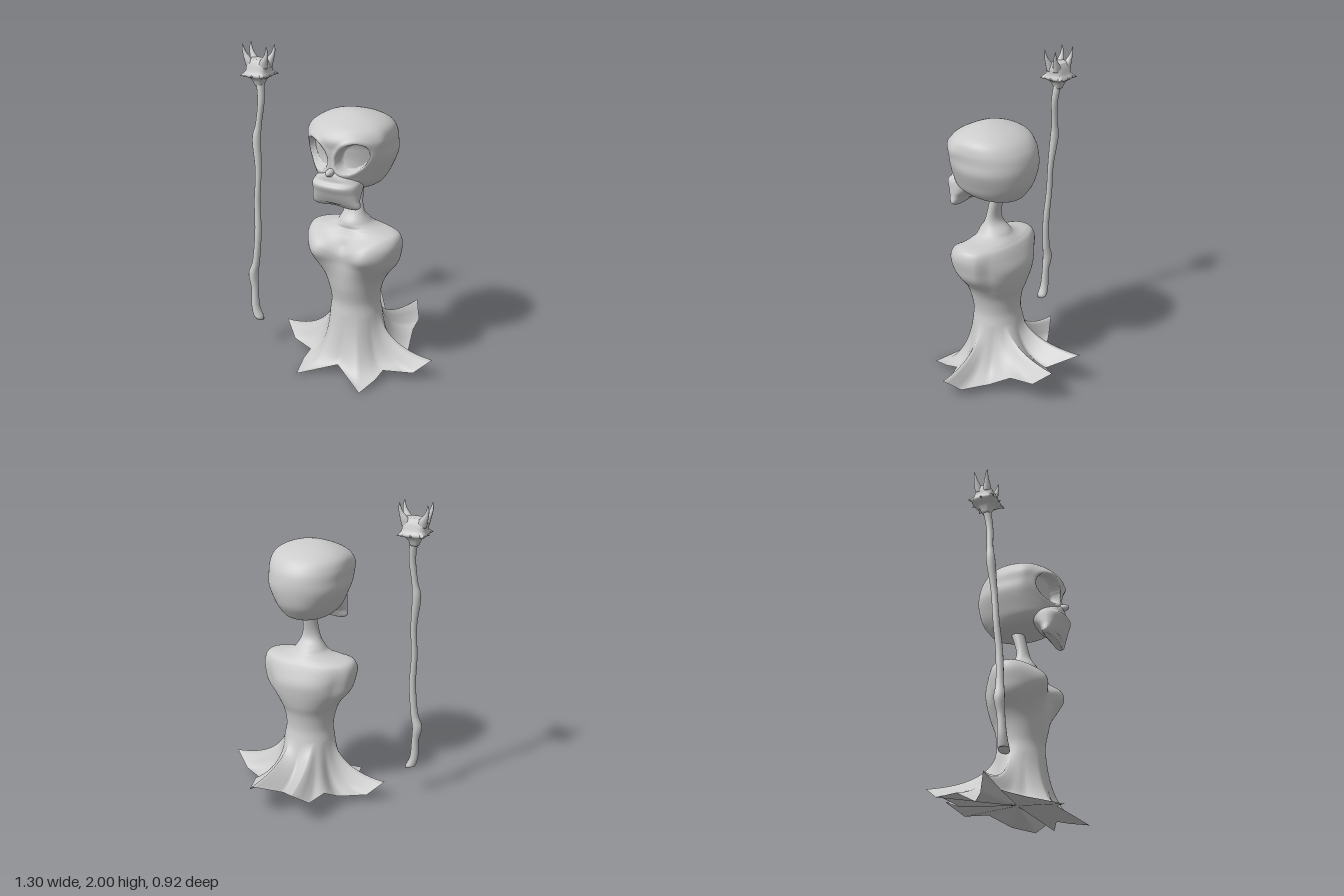
import * as THREE from 'three';

const N = 96;   // points per ring
const CX = 0.11; // the figure stands off centre, beside its staff
const mat = new THREE.MeshStandardMaterial({ color: 0xcccccc, side: THREE.DoubleSide });
const V = (x, y, z) => new THREE.Vector3(x, y, z);
const { smoothstep } = THREE.MathUtils;
const bell = (x, mid, width) => Math.exp(-(((x - mid) / width) ** 2));

// Smoothly resample a short table of cross-section rows
function resample(rows, steps) {
  const out = [], n = rows.length;
  for (let s = 0; s <= steps; s++) {
    const f = (s / steps) * (n - 1), i = Math.min(Math.floor(f), n - 2), t = f - i;
    const at = (k) => rows[Math.max(0, Math.min(n - 1, k))];
    out.push(rows[0].map((_, c) => {
      const [a, b, d, e] = [at(i - 1)[c], at(i)[c], at(i + 1)[c], at(i + 2)[c]];
      return b + 0.5 * t * (d - a + t * (2 * a - 5 * b + 4 * d - e + t * (3 * (b - d) + e - a)));
    }));
  }
  return out;
}

// Superellipse ring: half width, front z, back z, squareness
function ring(cx, y, w, zf, zb, n = 2, count = N) {
  const pts = [], zc = (zf + zb) / 2, p = 2 / n;
  for (let j = 0; j < count; j++) {
    const a = (j / count) * Math.PI * 2, s = Math.sin(a), c = Math.cos(a);
    pts.push(V(cx + w * Math.sign(s) * Math.abs(s) ** p, y, zc + (zf - zb) / 2 * Math.sign(c) * Math.abs(c) ** p));
  }
  return pts;
}

// Skin a stack of rings, listed bottom to top, with optional end caps
function loft(rings, capStart = true, capEnd = true) {
  const m = rings[0].length, pts = rings.flat(), idx = [];
  for (let i = 0; i < rings.length - 1; i++) for (let j = 0; j < m; j++) {
    const k = (j + 1) % m, a = i * m + j, b = i * m + k;
    idx.push(a, b, b + m, a, b + m, a + m);
  }
  const cap = (r, start) => {
    const c = r.reduce((q, p) => q.add(p), V(0, 0, 0)).divideScalar(m), o = start ? 0 : (rings.length - 1) * m;
    pts.push(c);
    for (let j = 0; j < m; j++) {
      const a = o + j, b = o + (j + 1) % m;
      idx.push(pts.length - 1, start ? b : a, start ? a : b);
    }
  };
  if (capStart) cap(rings[0], true);
  if (capEnd) cap(rings[rings.length - 1], false);
  const g = new THREE.BufferGeometry().setFromPoints(pts);
  g.setIndex(idx);
  g.computeVertexNormals();
  return g;
}

function reshape(g, fn) {
  const p = g.attributes.position, v = V(0, 0, 0);
  for (let i = 0; i < p.count; i++) {
    fn(v.fromBufferAttribute(p, i));
    p.setXYZ(i, v.x, v.y, v.z);
  }
  g.computeVertexNormals();
  return g;
}

// Star-shaped hem: [angle, x, y, z] for the left half, mirrored for the right
const HEM = [
  [0, 0, 0.07, 0.33], [30, 0.23, 0, 0.455], [45, 0.265, 0.035, 0.32], [60, 0.27, 0.06, 0.23],
  [75, 0.44, 0.055, 0.155], [90, 0.54, 0.145, 0.09], [105, 0.44, 0.055, 0.03], [120, 0.285, 0.06, -0.07],
  [131.25, 0.245, 0.145, -0.21], [142.5, 0.21, 0.145, -0.36], [150, 0.14, 0.23, -0.46], [180, 0, 0.14, -0.3],
];
function hemRing() {
  return Array.from({ length: N }, (_, j) => {
    const deg = (j / N) * 360, side = deg > 180 ? -1 : 1, d = side > 0 ? deg : 360 - deg;
    const i = Math.min(HEM.findLastIndex((h) => h[0] <= d), HEM.length - 2);
    const [a, b] = [HEM[i], HEM[i + 1]], t = (d - a[0]) / (b[0] - a[0]);
    const l = (c) => a[c] + (b[c] - a[c]) * t;
    return V(CX + side * l(1), l(2), l(3));
  });
}

function createBody(add) {
  // y, half width, front z, back z, squareness
  const torso = resample([
    [0.38, 0.165, 0.26, -0.055, 2], [0.46, 0.155, 0.255, -0.04, 2], [0.56, 0.172, 0.275, -0.05, 2],
    [0.64, 0.207, 0.29, -0.075, 2.1], [0.73, 0.275, 0.315, -0.092, 2.2], [0.8, 0.297, 0.33, -0.095, 2.3],
    [0.87, 0.31, 0.315, -0.07, 2.3], [0.92, 0.298, 0.28, -0.045, 2.2], [0.942, 0.262, 0.255, -0.025, 2],
    [0.957, 0.17, 0.235, -0.01, 2], [0.975, 0.12, 0.225, 0.01, 2], [1.0, 0.095, 0.215, 0.03, 2],
    [1.05, 0.068, 0.18, 0.08, 2], [1.12, 0.053, 0.16, 0.085, 2], [1.26, 0.045, 0.13, 0.045, 2],
  ], 84).map((r) => ring(CX, ...r));

  // Hollow the chest above a V neckline and set the arm sockets proud of the back
  for (const v of torso.flat()) {
    const x = Math.abs(v.x - CX), front = smoothstep(v.z, 0.14, 0.22);
    const neckline = smoothstep(v.y - 0.82 - 0.5 * x, -0.03, 0.05) * (1 - smoothstep(v.y, 0.92, 0.98));
    const lobe = bell(x, 0.17, 0.08) * bell(v.y, 0.82, 0.08);
    const groove = bell(x, 0, 0.09) * bell(v.y, 0.8, 0.12);
    const band = bell(v.y, 0.79, 0.12) * (1 - smoothstep(v.z, -0.02, 0.04));
    v.z += front * (0.035 * lobe - 0.035 * groove - 0.03 * neckline);
    v.x = CX + (v.x - CX) * (1 - 0.14 * band);
  }

  // Skirt sweeps from the waist out to each point of the hem
  const hem = hemRing(), skirt = [];
  for (let s = 0; s < 18; s++) {
    const t = s / 18;
    skirt.push(hem.map((h, j) => {
      const w = torso[0][j], c = w.clone().lerp(h, 0.18);
      c.y = h.y + 0.02 - 0.2 * Math.max(0, h.y - 0.1);
      return h.clone().multiplyScalar((1 - t) ** 2).addScaledVector(c, 2 * t * (1 - t)).addScaledVector(w, t * t);
    }));
  }
  add('gownAndNeck', loft([...skirt, ...torso], false));
  const under = [0.1, 0.4, 0.7, 1].map((t) => hem.map((h) => V(CX, 0.1, 0.08).lerp(h, t)));
  add('skirtUnderside', loft(under, true, false));
}

function createSkull(add) {
  const cranium = loft(resample([
    [1.225, 0.06, 0.18, -0.02], [1.24, 0.14, 0.28, -0.07], [1.28, 0.185, 0.365, -0.105],
    [1.34, 0.215, 0.39, -0.14], [1.43, 0.25, 0.385, -0.158], [1.5, 0.252, 0.395, -0.155],
    [1.56, 0.253, 0.403, -0.135], [1.615, 0.233, 0.36, -0.09], [1.655, 0.175, 0.29, -0.02],
    [1.683, 0.09, 0.22, 0.07], [1.695, 0.01, 0.17, 0.15],
  ], 100).map((r) => ring(CX, ...r, 2.1, 192)));
  // Square off the temples, press in the eye sockets and raise a soft rim round them
  add('cranium', reshape(cranium, (v) => {
    v.x = CX + (v.x - CX) * (1 + 0.08 * bell(v.z, 0.25, 0.06) * bell(v.y, 1.53, 0.12));
    if (v.z < 0.15) return;
    const dx = Math.abs(v.x - CX) - 0.116, dy = v.y - 1.46;
    const d = Math.hypot((dx - dy * 0.2) / 0.084, (dy - dx * 0.1) / 0.088);
    v.z += 0.008 * bell(d, 1.15, 0.2);
    v.z -= 0.05 * (1 - smoothstep(d, 0.88, 1.03));
  }));

  // Muzzle and jaw, with the mouth notch below the nose
  const jaw = loft(resample([
    [1.142, 0.14, 0.355, 0.31], [1.16, 0.162, 0.37, 0.3], [1.2, 0.155, 0.395, 0.275],
    [1.24, 0.154, 0.415, 0.23], [1.285, 0.152, 0.435, 0.19], [1.31, 0.145, 0.413, 0.18],
    [1.335, 0.12, 0.41, 0.17], [1.36, 0.075, 0.405, 0.16], [1.39, 0.03, 0.38, 0.16],
  ], 48).map((r) => ring(CX, ...r, 2.5)));
  add('jaw', reshape(jaw, (v) => {
    if (v.y < 1.17) v.y += 0.012 * bell(v.x, CX, 0.07);
  }));
  add('nose', new THREE.SphereGeometry(1, 20, 14).scale(0.024, 0.024, 0.045).translate(CX, 1.368, 0.398));
}

function createStaff(add) {
  // y, x, z, radius
  const shaft = resample([
    [0.205, -0.54, 0.26, 0.034], [0.28, -0.565, 0.26, 0.028], [0.4, -0.57, 0.255, 0.024],
    [0.5, -0.582, 0.25, 0.032], [0.6, -0.56, 0.245, 0.024], [0.8, -0.545, 0.235, 0.022],
    [1.0, -0.555, 0.22, 0.02], [1.2, -0.55, 0.205, 0.02], [1.4, -0.567, 0.19, 0.028],
    [1.5, -0.555, 0.18, 0.02], [1.65, -0.538, 0.17, 0.022], [1.78, -0.553, 0.155, 0.026],
  ], 60).map(([y, x, z, r]) => ring(x, y, r, z + r, z - r, 2, 12));
  shaft[0].forEach((p) => { p.y -= (p.x + 0.54) * 0.4; });
  add('staffShaft', loft(shaft));

  // Squared cup: y, half width, half depth
  const SX = -0.555, SZ = 0.155;
  add('staffCup', loft(resample([
    [1.74, 0.024, 0.024], [1.785, 0.045, 0.045], [1.81, 0.08, 0.08], [1.84, 0.074, 0.066],
    [1.88, 0.074, 0.052], [1.91, 0.06, 0.036],
  ], 20).map(([y, w, d]) => ring(SX, y, w, SZ + d, SZ - d, 3.5, 32))));

  for (const sx of [-1, 1]) for (const sz of [-1, 1]) {
    // Curved prong at each corner: y, outward offset, radius
    add('staffProng', loft(resample([
      [1.86, 0.045, 0.032], [1.9, 0.057, 0.028], [1.94, 0.078, 0.015], [1.97, 0.086, 0.009], [2.0, 0.087, 0.001],
    ], 16).map(([y, o, r]) => {
      const z = SZ + sz * (0.024 + (y - 1.86) * 0.14);
      return ring(SX + sx * o, y, r, z + r * 0.8, z - r * 0.8, 2, 10);
    })));
  }
  // Short thorns round the cup's lower edge
  for (let i = 0; i < 8; i++) {
    const a = (i * Math.PI) / 4, reach = i % 2 ? 0.098 : 0.072;
    const thorn = new THREE.ConeGeometry(0.026, 0.055, 8).rotateX(Math.PI / 2 + 0.2);
    add('staffThorn', thorn.translate(0, 1.815, reach - 0.004).rotateY(a).translate(SX, 0, SZ));
  }
}

export function createModel() {
  const model = new THREE.Group();
  for (const [name, build] of [['body', createBody], ['skull', createSkull], ['staff', createStaff]]) {
    const group = new THREE.Group();
    group.name = name;
    build((part, geometry) => {
      const mesh = new THREE.Mesh(geometry, mat);
      mesh.name = part;
      group.add(mesh);
    });
    model.add(group);
  }
  return model;
}
